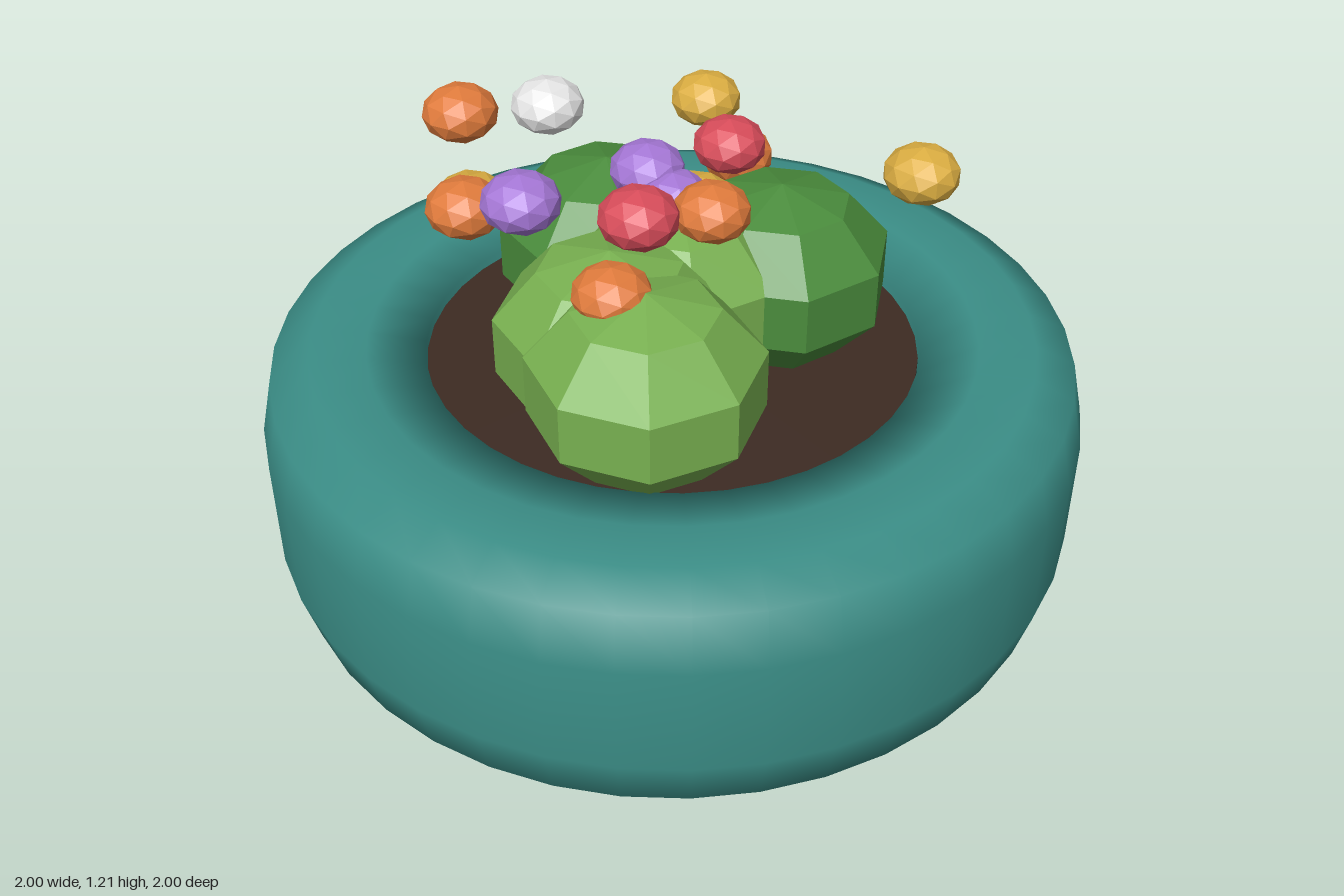
import * as THREE from 'three';

const mat = (name, color, flatShading = false) => {
  const m = new THREE.MeshStandardMaterial({ color, flatShading });
  m.name = name;
  return m;
};

export function createModel() {
  const group = new THREE.Group();
  const colours = {
    teal: mat('teal', 0x3b8e87),
    soil: mat('soil brown', 0x3d2b23),
    light: mat('light green', 0x78b050, true),
    dark: mat('dark green', 0x4a8c3c, true),
    orange: mat('orange', 0xe07b3c, true),
    yellow: mat('yellow', 0xdcae42, true),
    red: mat('red', 0xd84c5a, true),
    purple: mat('purple', 0xa577d6, true),
    white: mat('white', 0xe6e6e6, true),
  };
  const add = (name, geometry, material, x = 0, y = 0, z = 0) => {
    const mesh = new THREE.Mesh(geometry, material);
    mesh.name = name;
    mesh.position.set(x, y, z);
    group.add(mesh);
    return mesh;
  };

  // Tyre: closed profile, from the inner bottom rim round the tread and back
  const profile = [
    [0.6, 0.04], [0.74, 0.012], [0.88, 0.005], [0.965, 0.05], [1, 0.18],
    [1, 0.46], [0.97, 0.592], [0.875, 0.636], [0.74, 0.628], [0.6, 0.6], [0.6, 0.04],
  ].map(([r, y]) => new THREE.Vector2(r, y));
  add('tyre', new THREE.LatheGeometry(profile, 40), colours.teal);

  // Soil plug filling the upper half of the hole
  add('soil', new THREE.CylinderGeometry(0.598, 0.598, 0.27, 40), colours.soil, 0, 0.445, 0);

  // Bushes: squashed low-poly balls [x, z, colour, turn]
  const bushShape = new THREE.SphereGeometry(0.28, 8, 5).scale(1, 0.82, 1);
  [
    [-0.35, 0.245, 'light', 0],
    [-0.28, 0.07, 'light', 0.1],
    [-0.01, 0.03, 'light', 0.1],
    [0.205, 0.16, 'dark', 0.15],
    [0.02, -0.235, 'dark', 0.16],
  ].forEach(([x, z, colour, turn], i) => {
    add(`bush${i + 1}`, bushShape, colours[colour], x, 0.77, z).rotation.y = turn;
  });

  // Flower heads floating over the bushes [x, y, z, colour]
  const flowerShape = new THREE.IcosahedronGeometry(0.09, 1).scale(1, 0.75, 1);
  [
    [-0.245, 1.145, -0.445, 'orange'],
    [-0.02, 1.1, -0.39, 'white'],
    [-0.365, 1.02, -0.285, 'yellow'],
    [-0.425, 1.05, -0.235, 'orange'],
    [-0.405, 1.12, -0.07, 'purple'],
    [0.385, 1.02, -0.24, 'yellow'],
    [0.335, 0.935, -0.09, 'orange'],
    [0.24, 1.02, -0.035, 'red'],
    [-0.01, 1.04, -0.07, 'purple'],
    [-0.02, 1.0, 0.02, 'purple'],
    [0.04, 0.975, 0.04, 'yellow'],
    [-0.375, 0.975, 0.17, 'orange'],
    [-0.29, 1.127, 0.17, 'red'],
    [-0.06, 1.045, 0.175, 'orange'],
    [0.35, 1.075, 0.445, 'yellow'],
  ].forEach(([x, y, z, colour], i) => {
    add(`flower${i + 1}`, flowerShape, colours[colour], x, y, z);
  });

  return group;
}
